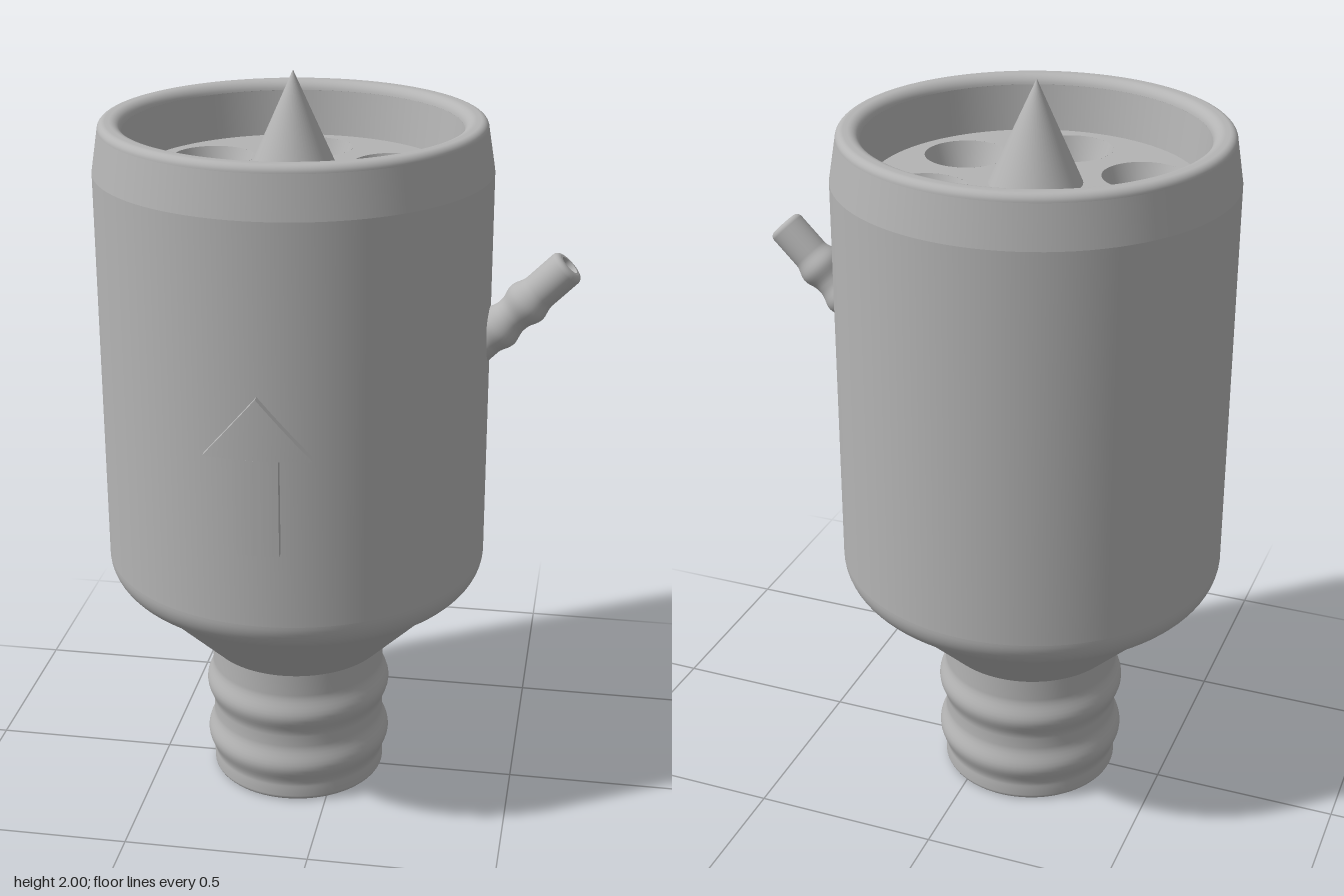
import * as THREE from 'three';
import { mergeGeometries, toCreasedNormals } from 'three/addons/utils/BufferGeometryUtils.js';

const grey = new THREE.MeshStandardMaterial({ color: 0xb4b4b4, side: THREE.DoubleSide });
grey.name = 'plain grey';

// Points along an arc, angles in degrees
function arc(cx, cy, rx, ry, from, to, n = 8) {
  return Array.from({ length: n + 1 }, (_, i) => {
    const a = THREE.MathUtils.degToRad(from + (to - from) * i / n);
    return [cx + rx * Math.cos(a), cy + ry * Math.sin(a)];
  });
}

// Revolve smooth sections that meet in sharp edges
function revolve(sections, segments) {
  return mergeGeometries(sections.map(s =>
    new THREE.LatheGeometry(s.map(p => new THREE.Vector2(p[0], p[1])), segments)));
}

function addMesh(parent, name, geometry) {
  const mesh = new THREE.Mesh(geometry, grey);
  mesh.name = name;
  parent.add(mesh);
  return mesh;
}

// Rounded hose ridge on a tube of radius r
function ridge(r, y, half, height, n = 12) {
  return Array.from({ length: n + 1 }, (_, i) => {
    const t = i / n * 2 - 1;
    return [r + height * (0.5 + 0.5 * Math.cos(t * Math.PI)), y + t * half];
  });
}

export function createModel() {
  const model = new THREE.Group();
  model.name = 'filterNozzle';
  const unit = new THREE.Group();
  unit.name = 'nozzleUnit';
  unit.position.set(-0.115, 0, -0.01);
  model.add(unit);

  const plateY = 1.735, plateDepth = 0.2;

  // Hollow body: shoulder, straight wall, tapered rim and inside surface
  addMesh(unit, 'body', revolve([
    [[0.23, 0.4], [0.247, 0.4]],
    [[0.247, 0.4], [0.467, 0.62]],
    arc(0.395, 0.692, 0.12, 0.105, -45, 0, 10).map(p => [p[0], p[1]]),
    [[0.515, 0.692], [0.515, 1.75]],
    [[0.515, 1.75], [0.497, 1.86]],
    [...arc(0.477, 1.86, 0.02, 0.02, 0, 90), ...arc(0.465, 1.85, 0.03, 0.03, 90, 170)],
    [[0.4355, 1.855], [0.42, plateY]],
    [[0.42, plateY], [0.42, 0.7]],
    [[0.42, 0.7], [0.2, 0.46]],
  ], 96));

  // Hose neck with two rounded ridges
  addMesh(unit, 'neck', revolve([
    [[0.2, 0.46], [0.2, 0.015]],
    arc(0.215, 0.015, 0.015, 0.015, 180, 270, 4),
    [[0.215, 0], [0.23, 0]],
    [...arc(0.228, 0.014, 0.014, 0.014, -90, 0, 5), [0.242, 0.04],
      ...ridge(0.24, 0.11, 0.065, 0.018), ...ridge(0.24, 0.27, 0.065, 0.018), [0.24, 0.4]],
  ], 72));

  // Perforated plate, top and underside
  const holes = Array.from({ length: 6 }, (_, i) => {
    const a = Math.PI / 2 + i * Math.PI / 3;
    return [0.279 * Math.cos(a), 0.279 * Math.sin(a)];
  });
  function plate(holeRadius) {
    const shape = new THREE.Shape().absarc(0, 0, 0.425, 0, Math.PI * 2);
    holes.forEach(([x, y]) =>
      shape.holes.push(new THREE.Path().absarc(x, y, holeRadius, 0, Math.PI * 2, true)));
    return new THREE.ShapeGeometry(shape, 48);
  }
  addMesh(unit, 'plateTop', plate(0.109).rotateX(-Math.PI / 2).translate(0, plateY, 0));
  addMesh(unit, 'plateUnderside',
    plate(0.034).rotateX(Math.PI / 2).translate(0, plateY - plateDepth, 0));

  // Funnel through the plate at each hole
  holes.forEach(([x, z]) => {
    const funnel = new THREE.LatheGeometry(
      [new THREE.Vector2(0.109, plateY), new THREE.Vector2(0.034, plateY - plateDepth)], 48);
    addMesh(unit, 'funnel', funnel).position.set(x, 0, z);
  });

  // Central spike
  addMesh(unit, 'spike', new THREE.ConeGeometry(0.119, 2 - plateY, 64, 1, true))
    .position.y = (2 + plateY) / 2;

  // Slanted side hose fitting, tip at local y = 0
  const fitting = addMesh(unit, 'sideFitting', revolve([
    [[0.027, -0.36], [0.049, -0.36]],
    [[0.049, -0.36], ...ridge(0.049, -0.25, 0.045, 0.011), ...ridge(0.049, -0.15, 0.045, 0.011),
      ...arc(0.034, -0.015, 0.015, 0.015, 0, 90, 5)],
    [[0.034, 0], [0.027, 0]],
    [[0.027, 0], [0.027, -0.36]],
  ], 40));
  fitting.position.set(0.715, 1.525, 0.005);
  fitting.rotation.z = -Math.PI / 4;

  // Raised flow arrow wrapped onto the body
  const arrow = new THREE.Group();
  arrow.name = 'flowArrow';
  unit.add(arrow);
  function wrapped(width, height, bottom, pointed) {
    const g = new THREE.BoxGeometry(width, height, 0.03, 16, 1, 1);
    const p = g.attributes.position;
    for (let i = 0; i < p.count; i++) {
      const x = p.getX(i);
      const up = (p.getY(i) / height + 0.5) * (pointed ? 1 - Math.abs(x) / (width / 2) : 1);
      const radius = 0.52 + p.getZ(i);
      p.setXYZ(i, x, bottom + up * height, Math.sqrt(radius * radius - x * x));
    }
    return toCreasedNormals(g, 0.5);
  }
  addMesh(arrow, 'arrowShaft', wrapped(0.108, 0.255, 0.9, false));
  addMesh(arrow, 'arrowHead', wrapped(0.275, 0.16, 1.155, true));

  return model;
}
